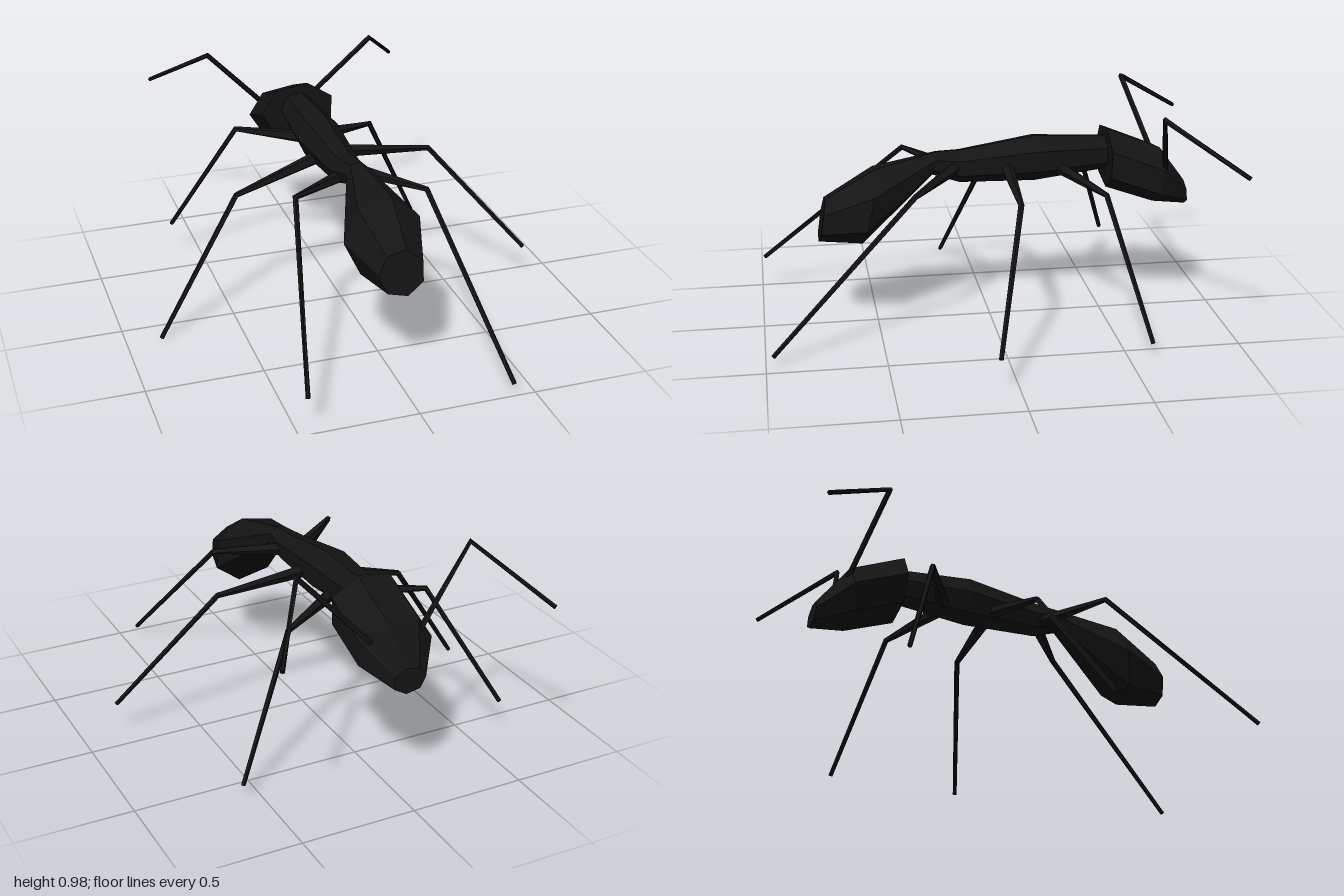
import * as THREE from 'three';

const material = new THREE.MeshStandardMaterial({ color: 0x141414, flatShading: true });
const V = (p) => new THREE.Vector3(...p);

// Closed skin through equal-sized rings of points, capped at both ends.
function loft(name, rings) {
  const n = rings[0].length;
  const positions = [];
  const tri = (...pts) => pts.forEach((p) => positions.push(p.x, p.y, p.z));
  const centre = (ring) => ring.reduce((s, p) => s.add(p), new THREE.Vector3()).divideScalar(n);
  const first = rings[0], last = rings[rings.length - 1];
  for (let i = 0; i < n; i++) {
    const j = (i + 1) % n;
    for (let k = 0; k < rings.length - 1; k++) {
      const a = rings[k], b = rings[k + 1];
      tri(a[i], a[j], b[j]);
      tri(a[i], b[j], b[i]);
    }
    tri(centre(first), first[j], first[i]);
    tri(centre(last), last[i], last[j]);
  }
  const geometry = new THREE.BufferGeometry();
  geometry.setAttribute('position', new THREE.Float32BufferAttribute(positions, 3));
  geometry.computeVertexNormals();
  const mesh = new THREE.Mesh(geometry, material);
  mesh.name = name;
  return mesh;
}

// Seven-sided body section; tilt shifts the top of the ring along z.
function section([x, y, z, rx, ry, tilt = 0]) {
  return Array.from({ length: 7 }, (_, i) => {
    const a = 0.43 + (i / 7) * Math.PI * 2;
    return new THREE.Vector3(x + rx * Math.cos(a), y + ry * Math.sin(a), z + tilt * Math.sin(a));
  });
}

// Thin jointed limb with mitred rings; each station is [point, radius].
function limb(name, stations, sides = 5) {
  const pts = stations.map(([p]) => V(p));
  const dir = (i) => pts[i + 1].clone().sub(pts[i]).normalize();
  const rings = stations.map(([, r], k) => {
    const t = new THREE.Vector3();
    if (k > 0) t.add(dir(k - 1));
    if (k < pts.length - 1) t.add(dir(k));
    t.normalize();
    const side = new THREE.Vector3(0, 0, 1).cross(t).normalize();
    const up = t.clone().cross(side);
    return Array.from({ length: sides }, (_, i) => {
      const a = (i / sides) * Math.PI * 2;
      return pts[k].clone().addScaledVector(side, r * Math.cos(a)).addScaledVector(up, r * Math.sin(a));
    });
  });
  return loft(name, rings);
}

export function createModel() {
  const ant = new THREE.Group();
  ant.name = 'ant';

  // Head, thorax and abdomen: x, y, z, half width, half height, tilt
  ant.add(loft('head', [
    [-0.03, 0.53, -0.88, 0.075, 0.056, 0.004],
    [-0.033, 0.622, -0.745, 0.175, 0.127, -0.012],
    [-0.033, 0.71, -0.517, 0.175, 0.138],
  ].map(section)));
  ant.add(loft('thorax', [
    [-0.04, 0.727, -0.53, 0.077, 0.075],
    [-0.038, 0.717, -0.2, 0.099, 0.105],
    [-0.023, 0.697, 0.13, 0.068, 0.075],
    [-0.004, 0.72, 0.245, 0.05, 0.052, -0.01],
  ].map(section)));
  ant.add(loft('abdomen', [
    [-0.004, 0.72, 0.24, 0.05, 0.052, -0.01],
    [0.012, 0.552, 0.53, 0.174, 0.172, -0.033],
    [0.015, 0.495, 0.735, 0.1, 0.098, -0.018],
  ].map(section)));

  // Legs: hip, knee, foot
  const legs = {
    frontLegLeft: [[0.0, 0.68, -0.3], [0.29, 0.63, -0.455], [0.57, 0.06, -0.605]],
    frontLegRight: [[-0.07, 0.67, -0.31], [-0.35, 0.685, -0.46], [-0.63, 0.165, -0.64]],
    middleLegLeft: [[0.0, 0.69, -0.075], [0.43, 0.65, -0.065], [0.85, 0.16, 0.085]],
    middleLegRight: [[-0.07, 0.67, -0.085], [-0.46, 0.56, -0.04], [-0.85, 0.01, 0.12]],
    hindLegLeft: [[0.0, 0.7, 0.14], [0.265, 0.655, 0.35], [0.42, 0.04, 0.97]],
    hindLegRight: [[-0.04, 0.675, 0.145], [-0.31, 0.705, 0.35], [-0.457, 0.16, 0.985]],
  };
  for (const [name, [hip, knee, foot]] of Object.entries(legs)) {
    ant.add(limb(name, [[hip, 0.03], [knee, 0.013], [foot, 0.01]]));
  }

  // Antennae: mirrored about the middle of the head
  for (const [name, s] of [['antennaLeft', 1], ['antennaRight', -1]]) {
    const x = (d) => -0.026 + s * d;
    ant.add(limb(name, [
      [[x(0.11), 0.67, -0.765], 0.013],
      [[x(0.39), 0.97, -0.677], 0.013],
      [[x(0.602), 0.765, -0.987], 0.01],
    ]));
  }
  return ant;
}
